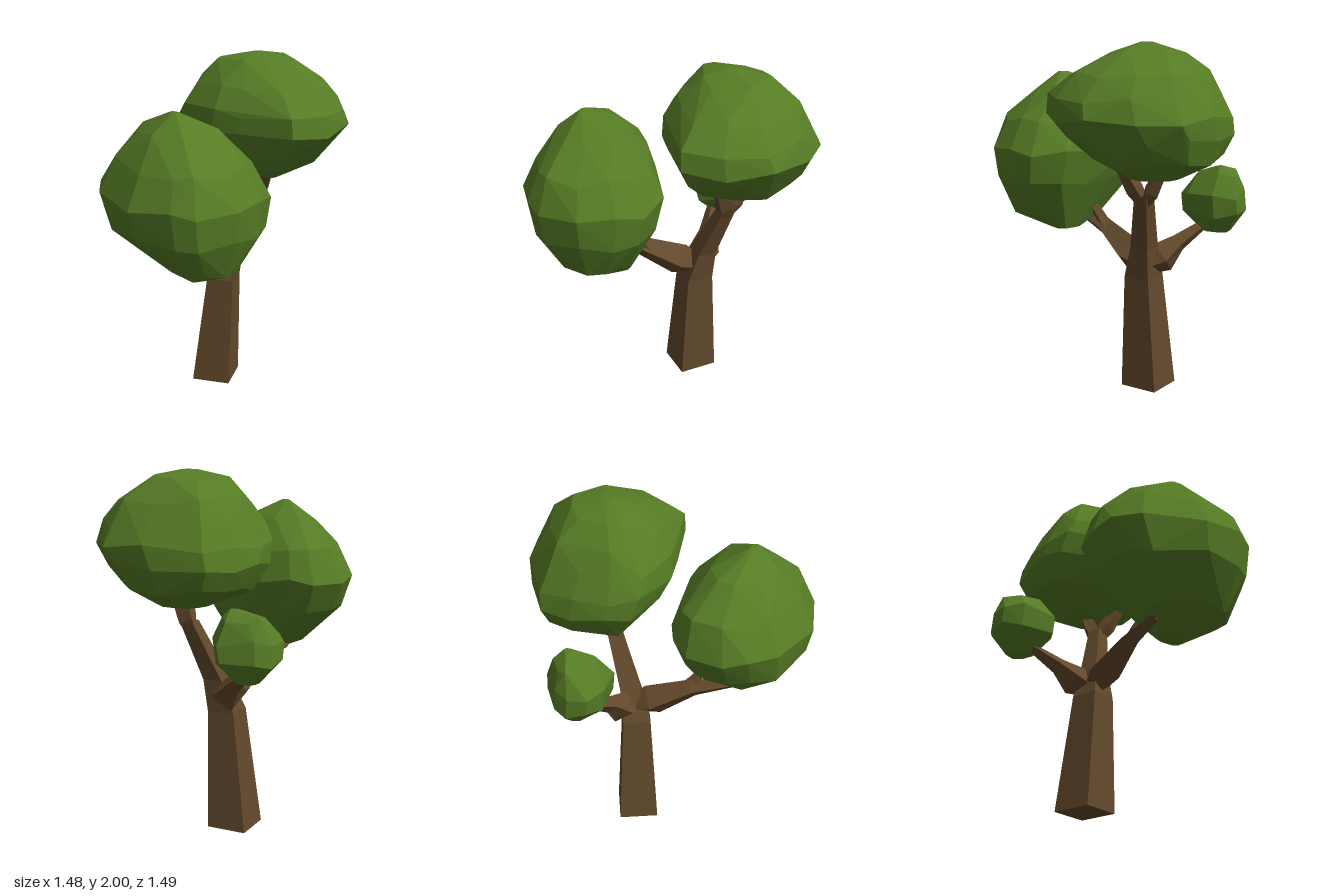
import * as THREE from 'three';
import { ConvexGeometry } from 'three/addons/geometries/ConvexGeometry.js';

const V = (x, y, z) => new THREE.Vector3(x, y, z);
const bark = new THREE.MeshStandardMaterial({ color: 0x63492c, flatShading: true });
const leaf = new THREE.MeshStandardMaterial({ color: 0x567c25, flatShading: true });

// Four-sided tapering limb through [x, y, z, radius] stations.
// Level limbs keep every ring horizontal; others turn with the path.
function limb(name, path, { level = false, turn = 0 } = {}) {
  const pts = path.map(p => V(p[0], p[1], p[2]));
  const last = pts.length - 1, pos = [], idx = [];
  pts.forEach((p, i) => {
    const t = level ? V(0, 1, 0)
      : pts[Math.min(i + 1, last)].clone().sub(pts[Math.max(i - 1, 0)]).normalize();
    const u = level ? V(0, 0, 1) : V(0, 1, 0).cross(t).normalize();
    const v = t.clone().cross(u);
    for (let j = 0; j < 4; j++) {
      const a = turn + j * Math.PI / 2, r = path[i][3];
      const q = p.clone().addScaledVector(u, r * Math.cos(a)).addScaledVector(v, r * Math.sin(a));
      pos.push(q.x, q.y, q.z);
    }
  });
  for (let i = 0; i < last; i++) {
    for (let j = 0; j < 4; j++) {
      const a = i * 4 + j, b = i * 4 + (j + 1) % 4;
      idx.push(a, b, b + 4, a, b + 4, a + 4);
    }
  }
  const e = last * 4;
  idx.push(0, 2, 1, 0, 3, 2, e, e + 1, e + 2, e, e + 2, e + 3);
  const g = new THREE.BufferGeometry();
  g.setAttribute('position', new THREE.Float32BufferAttribute(pos, 3));
  g.setIndex(idx);
  const flat = g.toNonIndexed();
  flat.computeVertexNormals();
  const mesh = new THREE.Mesh(flat, bark);
  mesh.name = name;
  return mesh;
}

// Faceted crown: a plan outline [x, z] fitted to the box of each level
// [y, xMin, xMax, zMin, zMax], then wrapped in a convex hull.
function crown(name, outline, levels) {
  const box = new THREE.Box2().setFromPoints(outline.map(([x, z]) => new THREE.Vector2(x, z)));
  const size = box.getSize(new THREE.Vector2());
  const pts = [];
  levels.forEach(([y, x0, x1, z0, z1], i) => {
    const inner = i > 0 && i < levels.length - 1;
    outline.forEach(([x, z], j) => {
      const wobble = inner ? 0.018 * Math.sin(j * 2.4 + i * 1.7) : 0;
      pts.push(V(
        x0 + (x1 - x0) * (x - box.min.x) / size.x,
        y + wobble,
        z0 + (z1 - z0) * (z - box.min.y) / size.y));
    });
  });
  const mesh = new THREE.Mesh(new ConvexGeometry(pts), leaf);
  mesh.name = name;
  return mesh;
}

export function createModel() {
  const tree = new THREE.Group();
  tree.name = 'tree';

  // Trunk running up into the leader
  tree.add(limb('trunk', [
    [-0.0125, 0, -0.195, 0.16],
    [0.03, 0.67, -0.165, 0.112],
    [0.085, 0.85, -0.168, 0.08],
    [0.238, 1.18, -0.17, 0.055],
  ], { level: true, turn: 0.24 }));

  // Twigs under the tall crown
  tree.add(limb('frontTwig', [[0.225, 1.12, -0.17, 0.03], [0.245, 1.21, -0.12, 0.05], [0.26, 1.34, -0.05, 0.037]]));
  tree.add(limb('rearTwig', [[0.225, 1.12, -0.17, 0.03], [0.265, 1.2, -0.21, 0.05], [0.31, 1.34, -0.27, 0.037]]));

  // Side branch to the front crown, with its small fork
  tree.add(limb('frontBranch', [
    [0.04, 0.75, -0.16, 0.06],
    [-0.03, 0.79, -0.09, 0.1],
    [-0.2, 0.91, 0.07, 0.056],
    [-0.36, 0.97, 0.23, 0.03],
  ]));
  tree.add(limb('frontBranchFork', [[-0.16, 0.89, 0.04, 0.04], [-0.2, 0.97, 0.1, 0.035], [-0.21, 1.06, 0.16, 0.028]]));

  // Side branch to the small rear crown
  tree.add(limb('rearBranch', [
    [0.045, 0.74, -0.19, 0.06],
    [0.03, 0.78, -0.27, 0.095],
    [0, 0.86, -0.36, 0.052],
    [-0.06, 0.96, -0.51, 0.028],
  ]));

  // Leaf crowns
  tree.add(crown('tallCrown', [
    [0.19, -0.66], [0.49, -0.545], [0.69, -0.38], [0.735, -0.15], [0.675, 0.115], [0.49, 0.28],
    [0.265, 0.355], [0.03, 0.125], [-0.09, -0.01], [-0.205, -0.3], [-0.13, -0.44], [0.02, -0.565],
  ], [
    [1.28, 0.13, 0.4, -0.385, -0.08],
    [1.385, -0.09, 0.585, -0.6, 0.11],
    [1.51, -0.185, 0.67, -0.655, 0.25],
    [1.615, -0.205, 0.735, -0.645, 0.355],
    [1.72, -0.175, 0.695, -0.58, 0.345],
    [1.84, -0.1, 0.61, -0.515, 0.23],
    [1.955, 0.02, 0.44, -0.39, 0.01],
    [2, 0.19, 0.27, -0.21, -0.15],
  ]));
  tree.add(crown('frontCrown', [
    [-0.45, -0.175], [-0.32, -0.16], [-0.17, -0.06], [-0.03, 0.105], [0.1, 0.26], [0.115, 0.46],
    [0.025, 0.585], [-0.13, 0.71], [-0.355, 0.74], [-0.47, 0.69], [-0.65, 0.52], [-0.74, 0.195],
    [-0.705, 0.025], [-0.63, -0.08],
  ], [
    [0.91, -0.26, -0.1, 0.22, 0.38],
    [1, -0.47, -0.045, 0.1, 0.62],
    [1.2, -0.69, 0.085, -0.08, 0.72],
    [1.38, -0.74, 0.115, -0.175, 0.745],
    [1.55, -0.65, 0.02, -0.12, 0.67],
    [1.7, -0.53, -0.14, 0.06, 0.49],
    [1.81, -0.38, -0.34, 0.3, 0.36],
  ]));
  tree.add(crown('rearCrown', [
    [-0.225, -0.65], [-0.15, -0.73], [-0.06, -0.747], [0.125, -0.685],
    [0.135, -0.55], [0.05, -0.41], [-0.08, -0.375], [-0.215, -0.53],
  ], [
    [0.927, -0.1, 0.02, -0.66, -0.5],
    [1.04, -0.215, 0.12, -0.747, -0.385],
    [1.15, -0.225, 0.135, -0.735, -0.375],
    [1.26, -0.14, 0.085, -0.695, -0.475],
    [1.31, 0, 0.05, -0.61, -0.57],
  ]));

  return tree;
}
